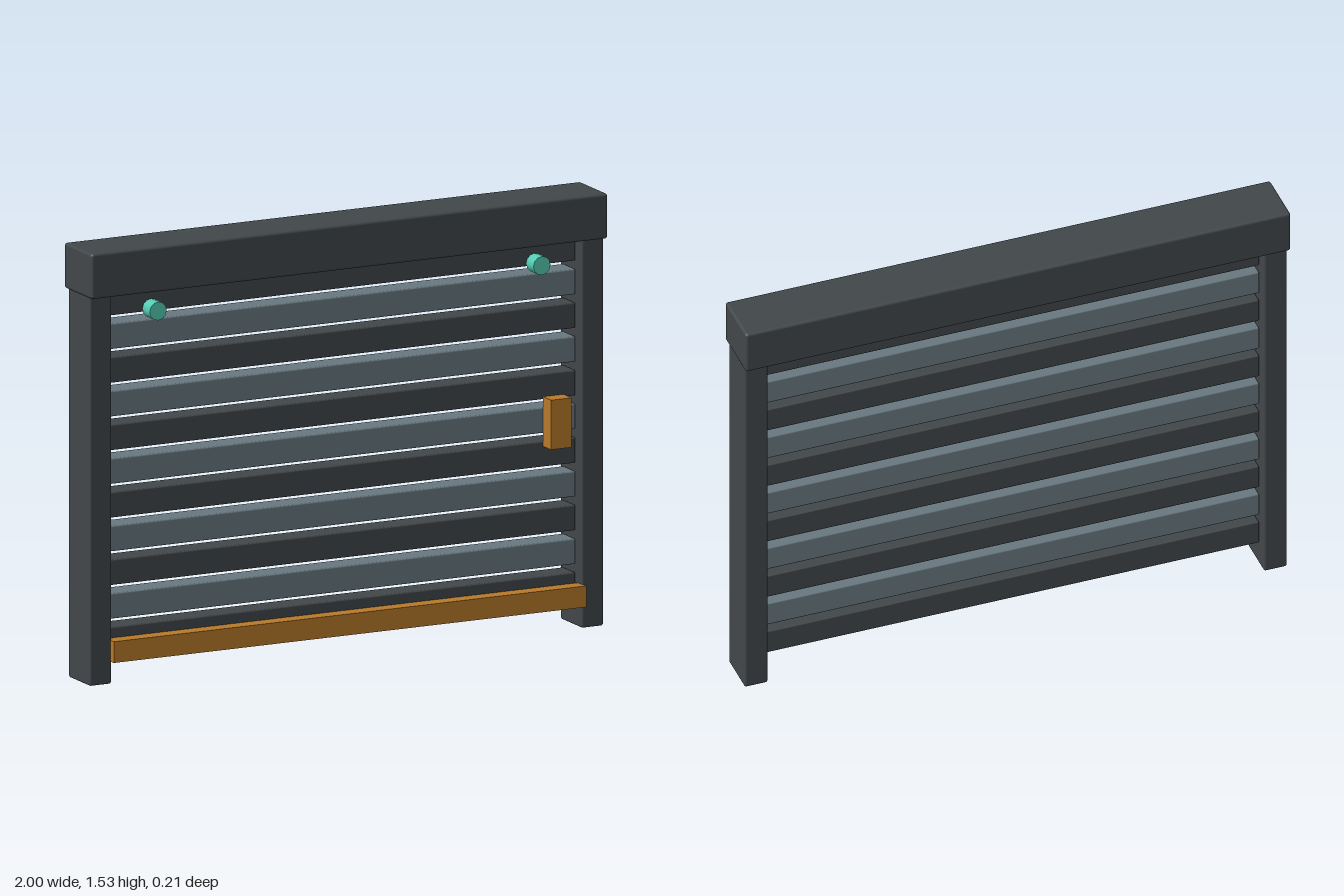
import * as THREE from 'three';
import { RoundedBoxGeometry } from 'three/addons/geometries/RoundedBoxGeometry.js';

function material(name, color) {
  const m = new THREE.MeshStandardMaterial({ color });
  m.name = name;
  return m;
}

export function createModel() {
  const group = new THREE.Group();
  const charcoal = material('charcoal', 0x42474a);
  const slate = material('slate grey', 0x687880);
  const amber = material('amber', 0xb87a2a);
  const teal = material('teal', 0x55ccb3);

  function add(name, geometry, mat, x, y, z) {
    const mesh = new THREE.Mesh(geometry, mat);
    mesh.name = name;
    mesh.position.set(x, y, z);
    group.add(mesh);
    return mesh;
  }
  const rounded = (w, h, d, r) => new RoundedBoxGeometry(w, h, d, 2, r);

  // Shutter housing across the top
  add('housing', rounded(2, 0.16, 0.206, 0.01), charcoal, 0, 1.45, 0);

  // Side guide posts and round stoppers
  for (const [side, s] of [['left', 1], ['right', -1]]) {
    add(side + 'Post', rounded(0.085, 1.39, 0.16, 0.008), charcoal, s * 0.9525, 0.695, 0);
    const knob = new THREE.CylinderGeometry(0.033, 0.033, 0.055, 12);
    knob.rotateX(Math.PI / 2);
    add(side + 'Stopper', knob, teal, s * 0.743, 1.303, 0.0775);
  }

  // Horizontal slats in alternating colours
  for (let i = 0; i < 11; i++) {
    add('slat' + (i + 1), rounded(1.81, 0.09, 0.09, 0.005),
      i % 2 ? slate : charcoal, 0, 0.146 + i * 0.119, 0);
  }

  // Bottom rail and pull handle
  add('bottomRail', new THREE.BoxGeometry(1.83, 0.075, 0.055), amber, 0, 0.117, 0.0775);
  add('handle', new THREE.BoxGeometry(0.08, 0.175, 0.06), amber, 0.818, 0.737, 0.075);

  return group;
}
